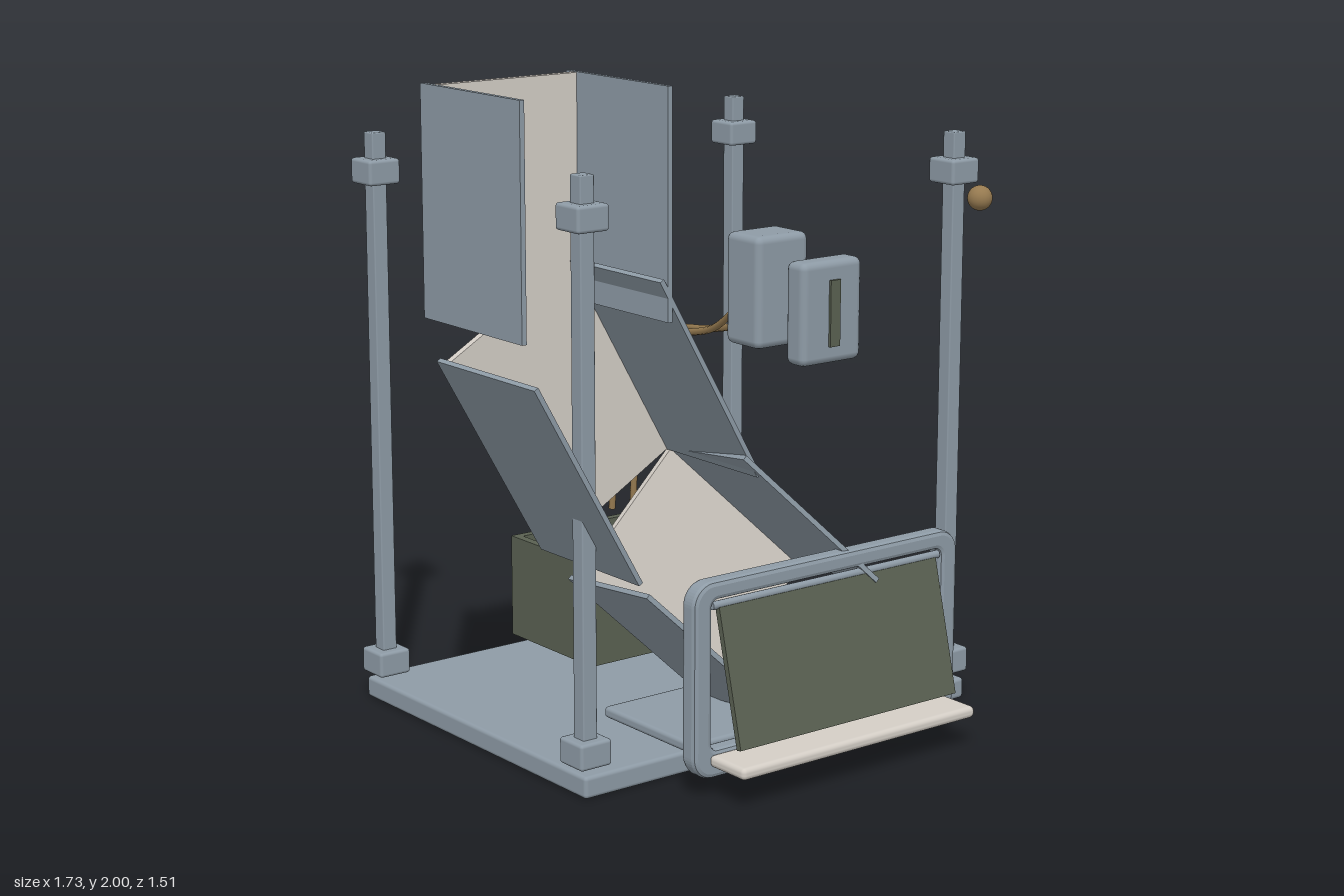
import * as THREE from 'three';
import { RoundedBoxGeometry } from 'three/addons/geometries/RoundedBoxGeometry.js';

const material = (name, color) => {
  const m = new THREE.MeshStandardMaterial({ color });
  m.name = name;
  return m;
};

export function createModel() {
  const metal = material('blue grey metal', 0x8e9ba6);
  const beige = material('beige panel', 0xd4cec6);
  const green = material('dark green', 0x5a6152);
  const brass = material('brass brown', 0x967a50);

  const model = new THREE.Group();
  model.name = 'dispenserMechanism';

  const add = (name, geometry, mat, x = 0, y = 0, z = 0, parent = model) => {
    const mesh = new THREE.Mesh(geometry, mat);
    mesh.name = name;
    mesh.position.set(x, y, z);
    parent.add(mesh);
    return mesh;
  };

  // Box given by its extents; a radius rounds its edges
  const span = (name, mat, [x0, x1], [y0, y1], [z0, z1], radius = 0, parent = model) => {
    const size = [x1 - x0, y1 - y0, z1 - z0];
    const geometry = radius
      ? new RoundedBoxGeometry(...size, 2, radius)
      : new THREE.BoxGeometry(...size);
    return add(name, geometry, mat, (x0 + x1) / 2, (y0 + y1) / 2, (z0 + z1) / 2, parent);
  };

  // Base plate and the raised landing tray
  span('basePlate', metal, [-0.6, 0.85], [0.0, 0.066], [-0.74, 0.405], 0.012);
  span('landingTray', metal, [-0.31, 0.56], [0.1, 0.134], [0.1, 0.52], 0.012);

  // Corner posts with a collar near each end
  for (const x of [-0.56, 0.81]) {
    for (const z of [-0.688, 0.352]) {
      const post = new THREE.Group();
      post.name = 'cornerPost';
      post.position.set(x, 0, z);
      model.add(post);
      span('postShaft', metal, [-0.024, 0.024], [0.08, 1.762], [-0.024, 0.024], 0.004, post);
      span('lowerCollar', metal, [-0.054, 0.054], [0.085, 0.163], [-0.054, 0.054], 0.01, post);
      span('upperCollar', metal, [-0.054, 0.054], [1.608, 1.684], [-0.054, 0.054], 0.01, post);
    }
  }

  // Three-section chute: two metal walls and a beige back, open at the front
  const addChute = (name, length, centre, tilt, roll) => {
    const chute = new THREE.Group();
    chute.name = name;
    chute.position.set(...centre);
    chute.rotation.set(tilt, 0, roll, 'ZYX');
    model.add(chute);
    for (const side of [-1, 1]) {
      add('chuteWall', new THREE.BoxGeometry(0.015, length, 0.466), metal, side * 0.242, 0, 0, chute);
    }
    add('chuteBack', new THREE.BoxGeometry(0.472, length - 0.004, 0.022), beige, 0, 0, -0.193, chute);
  };
  const deg = Math.PI / 180;
  addChute('upperChute', 0.645, [-0.618, 1.6775, 0.27], 0, 0);
  addChute('middleChute', 0.692, [-0.441, 1.0525, 0.27], 0, 30 * deg);
  addChute('lowerChute', 0.586, [-0.049, 0.53, 0.333], -11 * deg, 45 * deg);

  // Delivery door frame
  const roundedRect = (path, x0, y0, x1, y1, r) => {
    path.absarc(x1 - r, y0 + r, r, -Math.PI / 2, 0);
    path.absarc(x1 - r, y1 - r, r, 0, Math.PI / 2);
    path.absarc(x0 + r, y1 - r, r, Math.PI / 2, Math.PI);
    path.absarc(x0 + r, y0 + r, r, Math.PI, Math.PI * 1.5);
    path.closePath();
    return path;
  };
  const bevel = 0.014;
  const frame = roundedRect(new THREE.Shape(), -0.37 + bevel, 0.055 + bevel, 0.62 - bevel, 0.63 - bevel, 0.055);
  frame.holes.push(roundedRect(new THREE.Path(), -0.305 - bevel, 0.138 - bevel, 0.555 + bevel, 0.575 + bevel, 0.035));
  add('doorFrame', new THREE.ExtrudeGeometry(frame, {
    depth: 0.06 - 2 * bevel, bevelEnabled: true, bevelSize: bevel,
    bevelThickness: bevel, bevelSegments: 2, curveSegments: 6,
  }), metal, 0, 0, 0.545 + bevel);

  // Hinged flap, hinge rod and front lip
  const flap = add('doorFlap', new THREE.BoxGeometry(0.815, 0.405, 0.018), green, 0.125, 0.355, 0.645);
  flap.rotation.x = -0.245;
  const rod = add('hingeRod', new THREE.CylinderGeometry(0.012, 0.012, 0.85, 12), metal, 0.125, 0.558, 0.592);
  rod.rotation.z = Math.PI / 2;
  span('frontLip', beige, [-0.315, 0.565], [0.092, 0.128], [0.6, 0.755], 0.015);

  // Coin unit: front plate with slot, and the housing behind it
  span('slotPlate', metal, [0.015, 0.235], [1.19, 1.485], [0.52, 0.6], 0.022);
  span('coinSlot', green, [0.11, 0.146], [1.24, 1.43], [0.6, 0.608]);
  span('sensorHousing', metal, [0.03, 0.22], [1.202, 1.528], [0.235, 0.385], 0.022);

  // Twin feed tubes from the housing down into the bin
  const tubePath = [
    [0, 1.335, 0.24], [0.025, 1.27, 0.16], [0.054, 1.195, 0.03],
    [0.078, 1.155, -0.12], [0.106, 1.115, -0.34], [0.123, 1.03, -0.48],
    [0.133, 0.9, -0.54], [0.132, 0.75, -0.56], [0.128, 0.5, -0.573],
  ];
  for (const [startX, spread] of [[0.097, 1], [0.187, 0.95]]) {
    const curve = new THREE.CatmullRomCurve3(
      tubePath.map(([dx, y, z]) => new THREE.Vector3(startX + dx * spread, y, z)));
    add('feedTube', new THREE.TubeGeometry(curve, 48, 0.011, 8), brass);
  }

  // Open collection bin
  const [bx0, bx1, by0, by1, bz0, bz1, t] = [-0.04, 0.54, 0.088, 0.415, -0.755, -0.325, 0.027];
  span('binFloor', green, [bx0, bx1], [by0, by0 + t], [bz0, bz1]);
  span('binLeftWall', green, [bx1 - t, bx1], [by0, by1], [bz0, bz1]);
  span('binRightWall', green, [bx0, bx0 + t], [by0, by1], [bz0, bz1]);
  span('binBackWall', green, [bx0 + t, bx1 - t], [by0, by1], [bz0, bz0 + t]);
  span('binFrontWall', green, [bx0 + t, bx1 - t], [by0, by1], [bz1 - t, bz1]);

  // Discs piled on the bin floor
  const discs = [[0.21, -0.48], [0.167, -0.544], [0.13, -0.613], [0.117, -0.593]];
  discs.forEach(([x, z], i) => {
    add('coinDisc', new THREE.CylinderGeometry(0.064, 0.064, 0.018, 24), brass, x, 0.125 + i * 0.02, z);
  });

  // Loose ball beside the coin unit
  add('ball', new THREE.SphereGeometry(0.037, 20, 14), brass, 0.705, 1.6, 0.575);

  return model;
}
